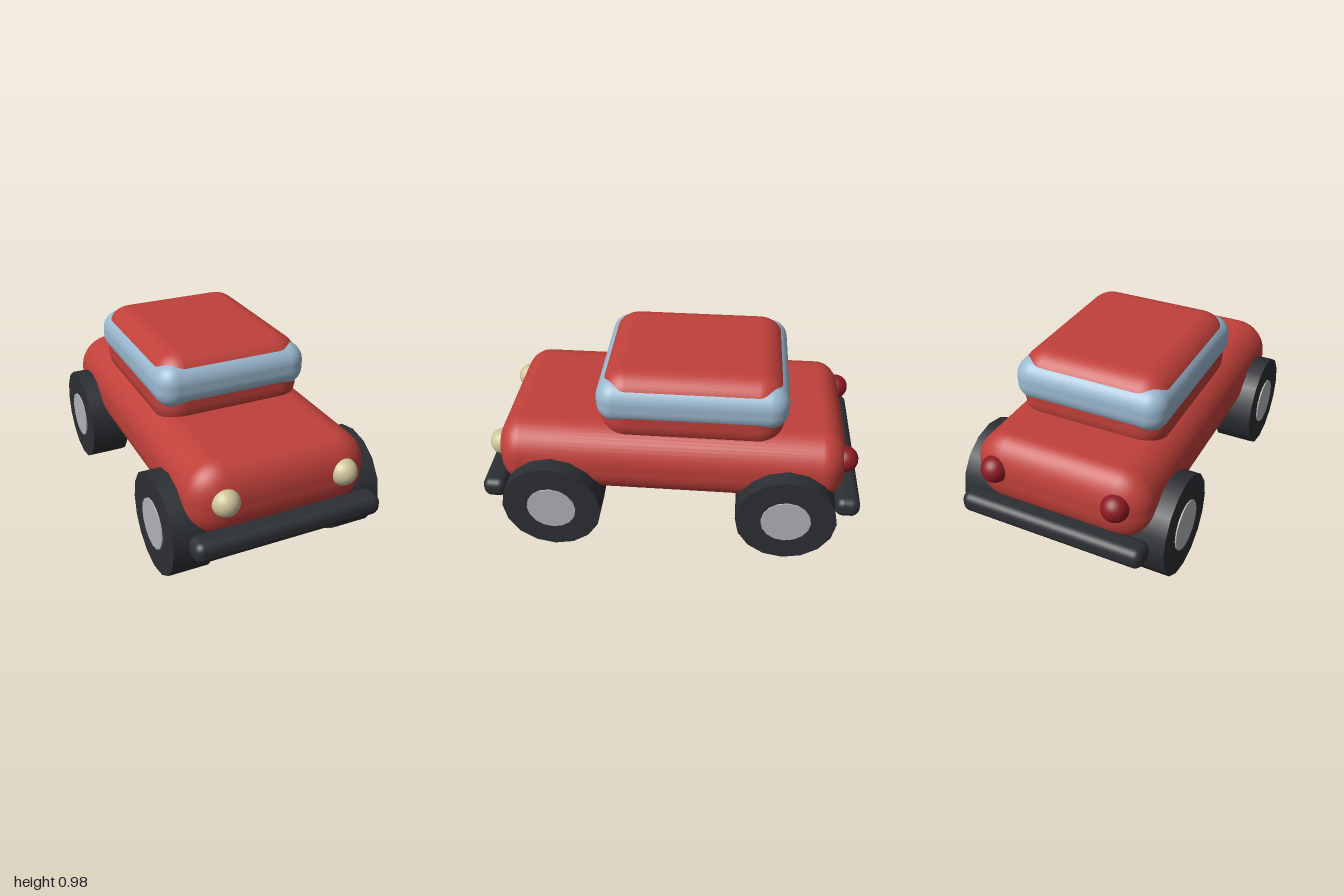
import * as THREE from 'three';
import { RoundedBoxGeometry } from 'three/addons/geometries/RoundedBoxGeometry.js';

const paint = (color) => new THREE.MeshStandardMaterial({ color });

export function createModel() {
  const car = new THREE.Group();
  car.name = 'car';

  const red = paint(0xc0403a);
  const glass = paint(0x9ab8cf);
  const rubber = paint(0x2c2f33);
  const metal = paint(0xb0b3b8);
  const cream = paint(0xcfc49a);
  const ruby = paint(0x8b1a22);

  function add(name, geometry, material, x, y, z) {
    const mesh = new THREE.Mesh(geometry, material);
    mesh.name = name;
    mesh.position.set(x, y, z);
    car.add(mesh);
    return mesh;
  }

  // Rounded box; squash shortens the rounding along z while keeping the depth
  function roundedBox(w, h, d, r, squash = 1) {
    return new RoundedBoxGeometry(w, h, d / squash, 6, r).scale(1, 1, squash);
  }

  // Body shell, cabin and the window band around the cabin
  add('body', roundedBox(0.96, 0.4, 1.84, 0.18, 0.75), red, 0, 0.465, 0);
  add('cabin', roundedBox(0.81, 0.405, 0.95, 0.14), red, 0, 0.7725, -0.107);
  add('windowBand', roundedBox(0.83, 0.235, 0.98, 0.1), glass, 0, 0.8175, -0.107);

  // Bumpers
  const bumper = roundedBox(1, 0.11, 0.13, 0.045);
  add('frontBumper', bumper, rubber, 0, 0.3, 0.935);
  add('rearBumper', bumper, rubber, 0, 0.3, -0.935);

  // Lights and wheels, mirrored left and right
  const lamp = new THREE.SphereGeometry(0.07, 24, 16);
  const tyre = new THREE.CylinderGeometry(0.2625, 0.2625, 0.21, 16).rotateZ(Math.PI / 2);
  const hub = new THREE.CylinderGeometry(0.13, 0.13, 0.224, 16).rotateZ(Math.PI / 2);
  for (const [side, s] of [['left', 1], ['right', -1]]) {
    add(side + 'Headlight', lamp, cream, s * 0.315, 0.497, 0.903);
    add(side + 'TailLight', lamp, ruby, s * 0.33, 0.512, -0.905);
    for (const [end, z] of [['Front', 0.615], ['Rear', -0.615]]) {
      add(side + end + 'Tyre', tyre, rubber, s * 0.459, 0.2625, z);
      add(side + end + 'Hub', hub, metal, s * 0.459, 0.2625, z);
    }
  }

  return car;
}
